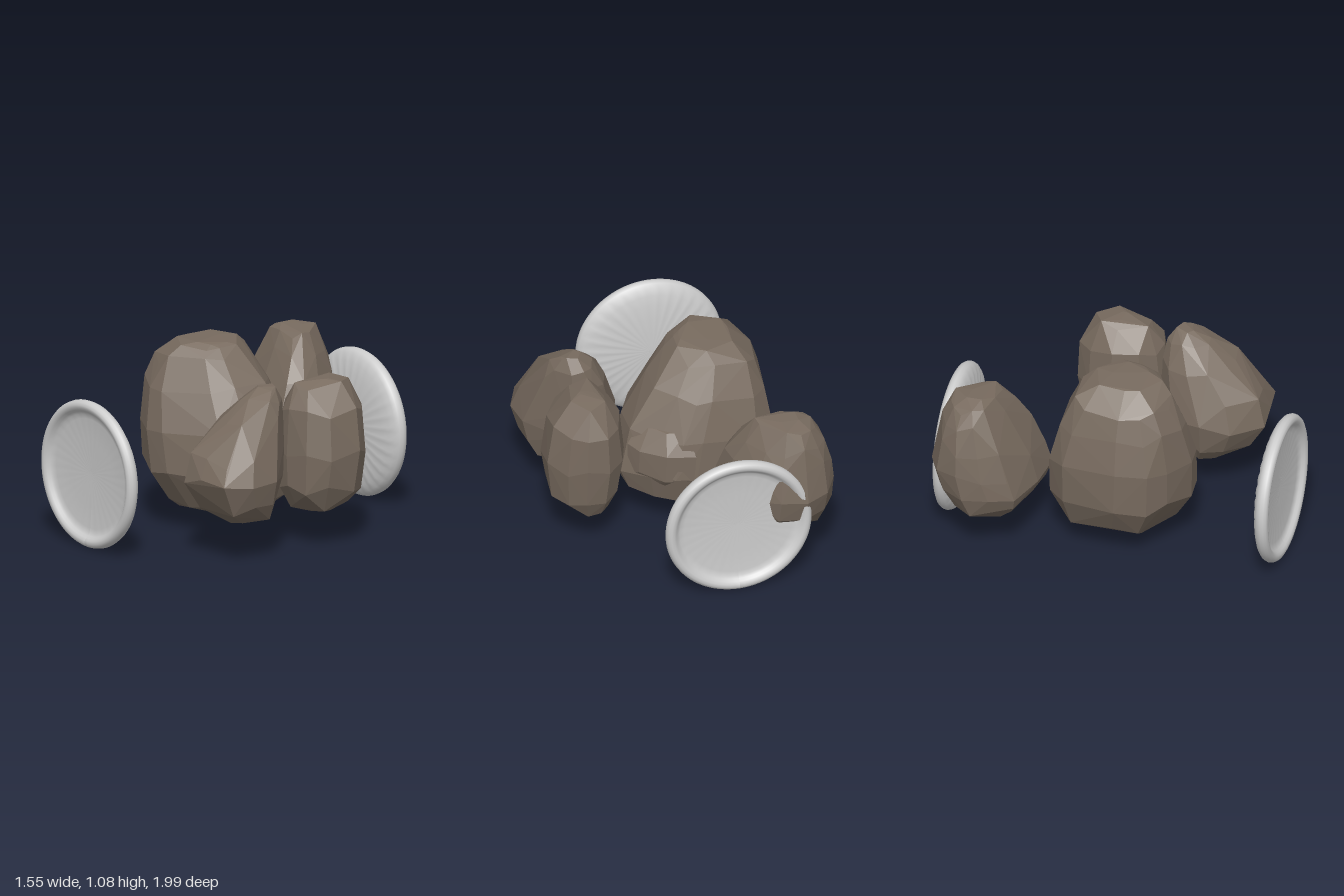
import * as THREE from 'three';
import { ConvexGeometry } from 'three/addons/geometries/ConvexGeometry.js';

const stone = new THREE.MeshStandardMaterial({ color: 0x786b5f, flatShading: true });
const ceramic = new THREE.MeshStandardMaterial({ color: 0xcccccc, side: THREE.DoubleSide });

function seeded(seed) {
  let s = seed;
  return () => (s = (s * 16807) % 2147483647) / 2147483647;
}

// Faceted boulder: a plan outline [x, z] fitted into the bounds of each level [y, x0, x1, z0, z1]
function boulder(name, outline, levels, seed) {
  const rand = seeded(seed);
  const box = new THREE.Box2().setFromPoints(outline.map(([x, z]) => new THREE.Vector2(x, z)));
  const size = box.getSize(new THREE.Vector2());
  const points = [];
  levels.forEach(([y, x0, x1, z0, z1], level) => {
    const inner = level > 0 && level < levels.length - 1;
    outline.forEach(([x, z]) => {
      const u = (x - box.min.x) / size.x, v = (z - box.min.y) / size.y;
      const pull = 1.005 - 0.035 * rand();
      points.push(new THREE.Vector3(
        x0 + (x1 - x0) * (0.5 + (u - 0.5) * pull),
        y + (inner ? (rand() - 0.5) * 0.07 : -Math.sign(y - 0.5) * rand() * 0.03),
        z0 + (z1 - z0) * (0.5 + (v - 0.5) * pull)));
    });
  });
  const mesh = new THREE.Mesh(new ConvexGeometry(points), stone);
  mesh.name = name;
  return mesh;
}

// Shallow round dish: rolled rim, recessed floor and a fluted domed underside
function dish(name) {
  const profile = [
    [0, -0.062], [0.12, -0.06], [0.22, -0.054], [0.3, -0.045], [0.36, -0.033], [0.4, -0.018],
    [0.422, 0], [0.43, 0.02], [0.427, 0.038], [0.418, 0.052], [0.403, 0.06], [0.386, 0.058],
    [0.372, 0.048], [0.361, 0.034], [0.346, 0.024], [0.32, 0.018], [0.2, 0.011], [0, 0.008],
  ].map(([r, h]) => new THREE.Vector2(r, h));
  const geometry = new THREE.LatheGeometry(profile, 96);
  const pos = geometry.attributes.position;
  for (let i = 0; i < pos.count; i++) {
    const x = pos.getX(i), z = pos.getZ(i), r = Math.hypot(x, z);
    if (pos.getY(i) > 0.03) continue;
    const fade = Math.max(0, Math.min(1, (r - 0.1) / 0.2, (0.41 - r) / 0.05));
    const depth = pos.getY(i) < 0 ? 0.003 : 0.0006;
    pos.setY(i, pos.getY(i) + depth * fade * Math.cos(32 * Math.atan2(z, x)));
  }
  geometry.computeVertexNormals();
  geometry.rotateX(Math.PI / 2);
  const mesh = new THREE.Mesh(geometry, ceramic);
  mesh.name = name;
  return mesh;
}

export function createModel() {
  const model = new THREE.Group();
  model.name = 'rocksAndDishes';

  // Large central boulder
  model.add(boulder('centralBoulder', [
    [-0.27, 0.47], [-0.13, 0.46], [0.2, 0.27], [0.28, 0.12], [0.29, -0.12], [0.15, -0.25],
    [0.02, -0.33], [-0.1, -0.35], [-0.44, -0.33], [-0.56, -0.22], [-0.61, 0.1], [-0.56, 0.28], [-0.47, 0.38],
  ], [
    [1.08, -0.28, -0.1, -0.02, 0.19], [1.05, -0.4, -0.07, -0.12, 0.28], [0.98, -0.53, -0.02, -0.2, 0.35],
    [0.82, -0.58, 0.09, -0.29, 0.42], [0.6, -0.615, 0.24, -0.35, 0.475], [0.36, -0.605, 0.3, -0.36, 0.465],
    [0.2, -0.52, 0.25, -0.31, 0.36], [0.15, -0.44, 0.19, -0.15, 0.31], [0.1, -0.26, 0, 0.06, 0.2],
  ], 11));

  // Low knob on the back of the central boulder
  model.add(boulder('backKnob', [
    [-0.1, -0.36], [0.08, -0.33], [0.22, -0.22], [0.27, -0.14], [0.15, 0], [-0.15, -0.05],
  ], [
    [0.66, -0.08, 0.18, -0.28, -0.02], [0.52, -0.14, 0.26, -0.36, 0], [0.36, -0.12, 0.26, -0.35, 0],
    [0.24, -0.08, 0.2, -0.28, 0],
  ], 71));

  // Pointed boulder leaning at the front left
  model.add(boulder('frontBoulder', [
    [0.38, 0.08], [0.55, 0.11], [0.65, 0.22], [0.75, 0.31], [0.77, 0.5], [0.7, 0.66],
    [0.52, 0.69], [0.37, 0.7], [0.22, 0.53], [0.19, 0.35], [0.25, 0.17],
  ], [
    [0.97, 0.43, 0.56, 0.15, 0.25], [0.91, 0.37, 0.61, 0.1, 0.35], [0.78, 0.28, 0.66, 0.08, 0.5],
    [0.6, 0.23, 0.73, 0.08, 0.66], [0.48, 0.19, 0.775, 0.1, 0.705], [0.31, 0.24, 0.74, 0.16, 0.61],
    [0.24, 0.3, 0.68, 0.2, 0.5], [0.175, 0.38, 0.48, 0.28, 0.42],
  ], 23));

  // Upright egg-shaped boulder on the left
  model.add(boulder('sideBoulder', [
    [0.52, 0.09], [0.66, 0.05], [0.75, -0.06], [0.76, -0.25], [0.67, -0.36], [0.57, -0.42],
    [0.44, -0.42], [0.34, -0.33], [0.29, -0.18], [0.32, -0.02], [0.41, 0.07],
  ], [
    [0.965, 0.47, 0.55, -0.22, -0.14], [0.92, 0.41, 0.62, -0.35, 0], [0.8, 0.32, 0.73, -0.42, 0.065],
    [0.55, 0.29, 0.765, -0.43, 0.09], [0.34, 0.32, 0.74, -0.4, 0.085], [0.24, 0.38, 0.66, -0.34, 0.02],
    [0.18, 0.46, 0.57, -0.24, -0.1],
  ], 37));

  // Boulder pushing through the back dish
  model.add(boulder('backBoulder', [
    [-0.57, -1], [-0.41, -0.995], [-0.28, -0.88], [-0.17, -0.65], [-0.15, -0.5], [-0.2, -0.38],
    [-0.45, -0.4], [-0.7, -0.47], [-0.76, -0.62], [-0.78, -0.78], [-0.7, -0.92],
  ], [
    [0.97, -0.59, -0.44, -0.8, -0.68], [0.93, -0.67, -0.34, -0.88, -0.63],
    [0.84, -0.72, -0.26, -0.93, -0.57], [0.7, -0.765, -0.19, -0.96, -0.49], [0.54, -0.785, -0.155, -1.0, -0.42],
    [0.42, -0.775, -0.15, -0.965, -0.38], [0.31, -0.74, -0.2, -0.89, -0.41],
    [0.18, -0.56, -0.42, -0.67, -0.54],
  ], 51));

  // Two upright dishes facing away from the rocks
  const frontDish = dish('frontDish');
  frontDish.position.set(-0.17, 0.43, 0.94);
  const backDish = dish('backDish');
  backDish.position.set(-0.17, 0.43, -0.927);
  backDish.rotation.y = Math.PI;
  model.add(frontDish, backDish);

  return model;
}
